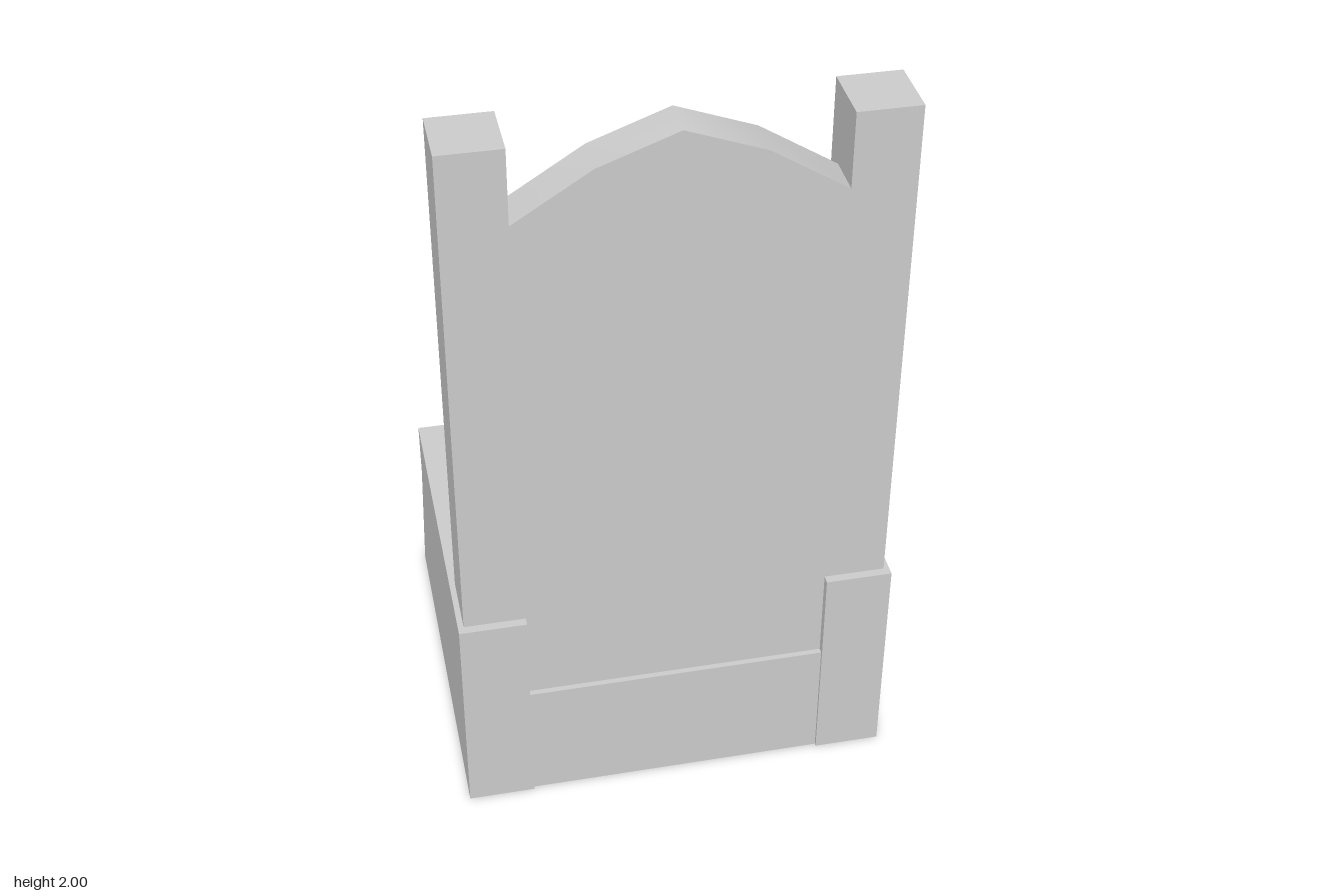
import * as THREE from 'three';
import { toCreasedNormals } from 'three/addons/utils/BufferGeometryUtils.js';

export function createModel() {
  const chair = new THREE.Group();
  chair.name = 'highBackedChair';
  const material = new THREE.MeshStandardMaterial({ color: 0xcccccc });

  const add = (name, geometry) => {
    const mesh = new THREE.Mesh(geometry, material);
    mesh.name = name;
    chair.add(mesh);
    return mesh;
  };
  // Box given by its limits on each axis
  const box = (name, x0, x1, y0, y1, z0, z1) => {
    const mesh = add(name, new THREE.BoxGeometry(x1 - x0, y1 - y0, z1 - z0));
    mesh.position.set((x0 + x1) / 2, (y0 + y1) / 2, (z0 + z1) / 2);
    return mesh;
  };
  // Flat outline extruded to a depth
  const extrude = (points, depth) => {
    const shape = new THREE.Shape(points.map(([x, y]) => new THREE.Vector2(x, y)));
    return toCreasedNormals(new THREE.ExtrudeGeometry(shape, { depth, bevelEnabled: false }), 0.85);
  };

  const inner = 0.395; // half the width between the arms

  // Arms with a sloping front foot, and posts rising behind them
  const armProfile = [[-0.5, 0], [0.5, 0], [0.36, 0.45], [0.36, 0.61], [-0.5, 0.61]];
  for (const side of [1, -1]) {
    const label = side > 0 ? 'left' : 'right';
    const arm = add(label + 'Arm', extrude(armProfile, 0.175).rotateY(Math.PI / 2));
    arm.position.x = side > 0 ? inner : -inner - 0.175;
    const post = box(label + 'Post', inner, 0.555, 0.5, 2, 0.31, 0.477);
    post.position.x *= side;
  }

  // Seat slab over thin aprons, open underneath
  box('seat', -inner, inner, 0.24, 0.35, -0.382, 0.492);
  box('frontApron', -inner, inner, 0, 0.24, -0.335, -0.325);
  box('rearApron', -inner, inner, 0, 0.24, 0.482, 0.492);

  // Arched back panel
  const panel = add('backPanel', extrude([
    [-inner, 0.35], [inner, 0.35], [inner, 1.8], [0.2, 1.925],
    [0, 2], [-0.2, 1.925], [-inner, 1.8],
  ], 0.112));
  panel.position.z = 0.365;

  // Arched moulding in front of the panel
  const arch = [[-inner, 1.69], [-0.2, 1.845], [0, 1.92], [0.2, 1.845], [inner, 1.69]];
  const lower = arch.map(([x, y]) => [x, y - 0.055]).reverse();
  const moulding = add('archMoulding', extrude([...lower, ...arch], 0.04));
  moulding.position.z = 0.33;

  // Tufted cushion: a grid bent to an arched outline, rounded at its rim
  const halfWidth = 0.375, seatY = 0.35, rim = 0.07, backZ = 0.365;
  const buttonX = 0.14, rows = [0.75, 0.99, 1.23, 1.47];
  const frontZ = (x, y) => {
    let z = 0.242;
    for (const row of rows) {
      const dy = (y - row) / 0.06;
      z += 0.018 * Math.exp(-dy * dy);
      for (const bx of [-buttonX, buttonX]) {
        const dx = (x - bx) / 0.06;
        z += 0.016 * Math.exp(-dx * dx - dy * dy);
      }
    }
    for (const bx of [-buttonX, buttonX]) z += 0.007 * Math.exp(-(((x - bx) / 0.05) ** 2));
    return z;
  };
  const cushion = new THREE.PlaneGeometry(2, 2, 56, 110).rotateY(Math.PI);
  const p = cushion.attributes.position;
  for (let i = 0; i < p.count; i++) {
    const x = halfWidth * Math.sin(p.getX(i) * Math.PI / 2);
    const top = 1.8 - 0.27 * (Math.abs(x) / halfWidth) ** 2.2;
    const v = Math.sin((p.getY(i) + 1) * Math.PI / 4);
    const y = seatY + (top - seatY) * v;
    const edge = Math.max(0, Math.min(halfWidth - Math.abs(x), (top - y) * 0.85));
    const t = 1 - Math.min(edge / rim, 1);
    const bulge = Math.sqrt(Math.max(0, 1 - t * t));
    p.setXYZ(i, x, y, backZ + (frontZ(x, y) - backZ) * bulge);
  }
  cushion.computeVertexNormals();
  add('backCushion', cushion);

  // Buttons sunk in the tufts
  const button = new THREE.SphereGeometry(0.02, 16, 10).scale(1, 1, 0.5);
  for (const y of rows) {
    for (const x of [-buttonX, buttonX]) {
      add('cushionButton', button).position.set(x, y, frontZ(x, y) - 0.003);
    }
  }
  return chair;
}
